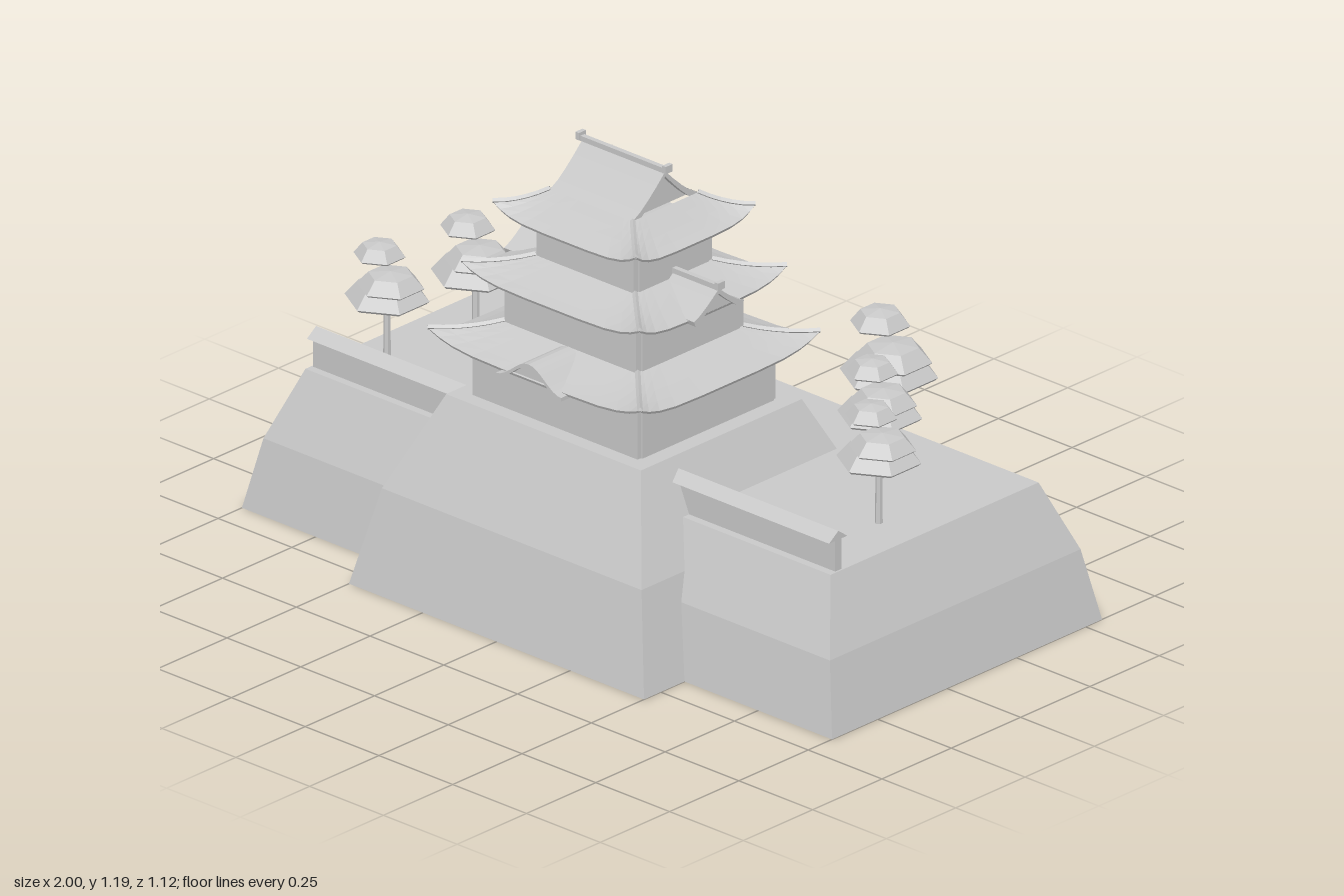
import * as THREE from 'three';

const stone = new THREE.MeshStandardMaterial({ color: 0xc8c8c8, flatShading: true, side: THREE.DoubleSide });
stone.name = 'light grey';

const CZ = 0.1; // z of the keep's centre

function add(parent, name, geometry, x = 0, y = 0, z = 0) {
  const mesh = new THREE.Mesh(geometry, stone);
  mesh.name = name;
  mesh.position.set(x, y, z);
  parent.add(mesh);
  return mesh;
}

// Rectangular rings joined upward; rows are [halfX, halfZ, y, cornerLift]
function loft(rows, us = [-1, 1]) {
  const pos = [];
  const point = (side, row, u) => {
    const [hx, hz, y, lift = 0] = row;
    const p = [[u * hx, hz], [hx, -u * hz], [-u * hx, -hz], [-hx, u * hz]][side];
    return [p[0], y + lift * Math.abs(u) ** 5, p[1]];
  };
  for (let s = 0; s < 4; s++) {
    for (let r = 0; r < rows.length - 1; r++) {
      for (let i = 0; i < us.length - 1; i++) {
        const a = point(s, rows[r], us[i]), b = point(s, rows[r], us[i + 1]);
        const c = point(s, rows[r + 1], us[i + 1]), d = point(s, rows[r + 1], us[i]);
        pos.push(...a, ...b, ...c, ...a, ...c, ...d);
      }
    }
  }
  const g = new THREE.BufferGeometry();
  g.setAttribute('position', new THREE.Float32BufferAttribute(pos, 3));
  g.computeVertexNormals();
  return g;
}

// Cross-section in (z, y) drawn out along x between x0 and x1
function extrudeX(points, x0, x1) {
  const shape = new THREE.Shape(points.map(p => new THREE.Vector2(p[0], p[1])));
  const g = new THREE.ExtrudeGeometry(shape, { depth: x1 - x0, bevelEnabled: false });
  return g.rotateY(Math.PI / 2).translate(x0, 0, 0);
}

// Concave gable outline, left foot over the apex to the right foot
function gableCurve(w, h) {
  const pts = [];
  for (let i = -4; i <= 4; i++) {
    const t = 1 - Math.abs(i) / 4;
    pts.push([(w * i) / 4, h * t ** 1.25]);
  }
  return pts;
}

// Gabled roof: recessed gable wall, overhanging slab, ridge bar and end caps
function gableRoof(parent, name, w, h, x0, x1, y, capEnds) {
  const curve = gableCurve(w, h);
  const under = curve.map(p => [p[0] * 0.94, p[1] - 0.014]).reverse();
  add(parent, name + 'Wall', extrudeX(gableCurve(w * 0.94, h - 0.008), x0 + 0.015, x1 - 0.015), 0, y, CZ);
  add(parent, name + 'Slab', extrudeX([...curve, ...under], x0, x1), 0, y, CZ);
  add(parent, name + 'Ridge', new THREE.BoxGeometry(x1 - x0 + 0.012, 0.014, 0.014), (x0 + x1) / 2, y + h + 0.004, CZ);
  for (const x of capEnds) {
    add(parent, name + 'Cap', new THREE.BoxGeometry(0.012, 0.02, 0.025), x, y + h + 0.01, CZ);
  }
}

// Sweeping hipped skirt with raised corners and hip bars
function skirtRoof(parent, name, ex, ez, ix, iz, y, rise) {
  const rows = [];
  for (let i = 0; i <= 4; i++) {
    const v = i / 4;
    rows.push([ex + (ix - ex) * v, ez + (iz - ez) * v, y + rise * v ** 1.2, 0.033 * (1 - v) ** 1.5]);
  }
  const us = [-1, -0.9, -0.78, -0.6, -0.3, 0.3, 0.6, 0.78, 0.9, 1];
  rows.unshift([ex - 0.004, ez - 0.004, y - 0.008, 0.033]); // eave edge
  add(parent, name, loft(rows, us), 0, 0, CZ);
  for (const sx of [-1, 1]) for (const sz of [-1, 1]) {
    const path = new THREE.CatmullRomCurve3(rows.slice(1).map(r => new THREE.Vector3(sx * r[0], r[2] + r[3] + 0.002, sz * r[1])));
    add(parent, name + 'Hip', new THREE.TubeGeometry(path, 5, 0.007, 4), 0, 0, CZ);
  }
}

// Layered tree: slim trunk with three six-sided canopies
function tree(parent, x, z, s) {
  const t = new THREE.Group();
  t.name = 'tree';
  t.position.set(x, 0.375, z);
  t.scale.setScalar(s);
  add(t, 'trunk', new THREE.CylinderGeometry(0.007, 0.01, 0.28, 6), 0, 0.14, 0);
  const canopies = [[0, 0.165, 0, 0.108, 0.06], [0.04, 0.222, 0.03, 0.086, 0.045], [-0.035, 0.27, -0.01, 0.066, 0.04]];
  for (const [cx, cy, cz, r, h] of canopies) {
    const profile = [[0, 0], [0.93 * r, 0], [r, 0.12 * h], [0.66 * r, 0.84 * h], [0, h]].map(p => new THREE.Vector2(...p));
    add(t, 'canopy', new THREE.LatheGeometry(profile, 6), cx, cy, cz);
  }
  parent.add(t);
}

export function createModel() {
  const model = new THREE.Group();
  model.name = 'castle';

  // Sloping stone terraces, open below
  add(model, 'lowerTerrace', loft([[1, 0.487, 0], [0.96, 0.452, 0.19], [0.89, 0.375, 0.375], [0, 0, 0.375]]), 0, 0, -0.073);
  add(model, 'keepTerrace', loft([[0.5, 0.46, 0], [0.44, 0.405, 0.26], [0.33, 0.29, 0.512], [0, 0, 0.512]]), 0, 0, CZ);

  // Keep storeys: [halfX, halfZ, bottom, top, panel inset]
  const storeys = [[0.285, 0.249, 0.51, 0.657, 0.012], [0.228, 0.194, 0.66, 0.83, 0.018], [0.17, 0.141, 0.83, 1.0, 0.016]];
  for (const [hx, hz, y0, y1, inset] of storeys) {
    add(model, 'storey', new THREE.BoxGeometry(hx * 2, y1 - y0, (hz - inset) * 2), 0, (y0 + y1) / 2, CZ);
    add(model, 'wallPanel', new THREE.BoxGeometry((hx - 0.005) * 2, y1 - y0, hz * 2), 0, (y0 + y1) / 2, CZ);
  }

  // Three roofs
  skirtRoof(model, 'lowerRoof', 0.36, 0.325, 0.225, 0.19, 0.662, 0.05);
  skirtRoof(model, 'middleRoof', 0.303, 0.266, 0.168, 0.139, 0.842, 0.05);
  skirtRoof(model, 'upperRoof', 0.243, 0.216, 0.14, 0.118, 1.006, 0.066);
  gableRoof(model, 'topGable', 0.12, 0.098, -0.14, 0.14, 1.07, [-0.147, 0.147]);

  // Side dormers on the middle roof
  gableRoof(model, 'leftDormer', 0.09, 0.062, 0.16, 0.322, 0.845, [0.325]);
  gableRoof(model, 'rightDormer', 0.09, 0.062, -0.322, -0.16, 0.845, [-0.325]);

  // Curved front gable on the lower roof
  const bell = [];
  for (let i = -8; i <= 8; i++) {
    bell.push(new THREE.Vector2(i * 0.0138, 0.658 + 0.0285 * (1 + Math.cos((Math.PI * i) / 8))));
  }
  const bellUnder = bell.map(p => new THREE.Vector2(p.x, p.y - 0.01)).reverse();
  const slab = new THREE.Shape([...bell, ...bellUnder]);
  add(model, 'curvedGable', new THREE.ExtrudeGeometry(slab, { depth: 0.145, bevelEnabled: false }), 0, 0, 0.3);
  add(model, 'curvedGableFront', new THREE.ExtrudeGeometry(new THREE.Shape(bell), { depth: 0.12, bevelEnabled: false }), 0, -0.004, 0.3);

  // Roofed perimeter walls along the front
  const section = [[-0.011, 0.37], [0.011, 0.37], [0.011, 0.458], [0.033, 0.458], [0, 0.482], [-0.033, 0.458], [-0.011, 0.458]];
  add(model, 'leftWall', extrudeX(section, 0.33, 0.885), 0, 0, 0.269);
  add(model, 'rightWall', extrudeX(section, -0.885, -0.33), 0, 0, 0.269);

  // Trees
  const trees = [[-0.51, -0.275, 0.77], [-0.7, -0.11, 1.06], [-0.775, 0.13, 1], [0.475, -0.35, 1.16], [0.585, -0.2, 1], [0.765, -0.005, 1]];
  for (const [x, z, s] of trees) tree(model, x, z, s);

  return model;
}
